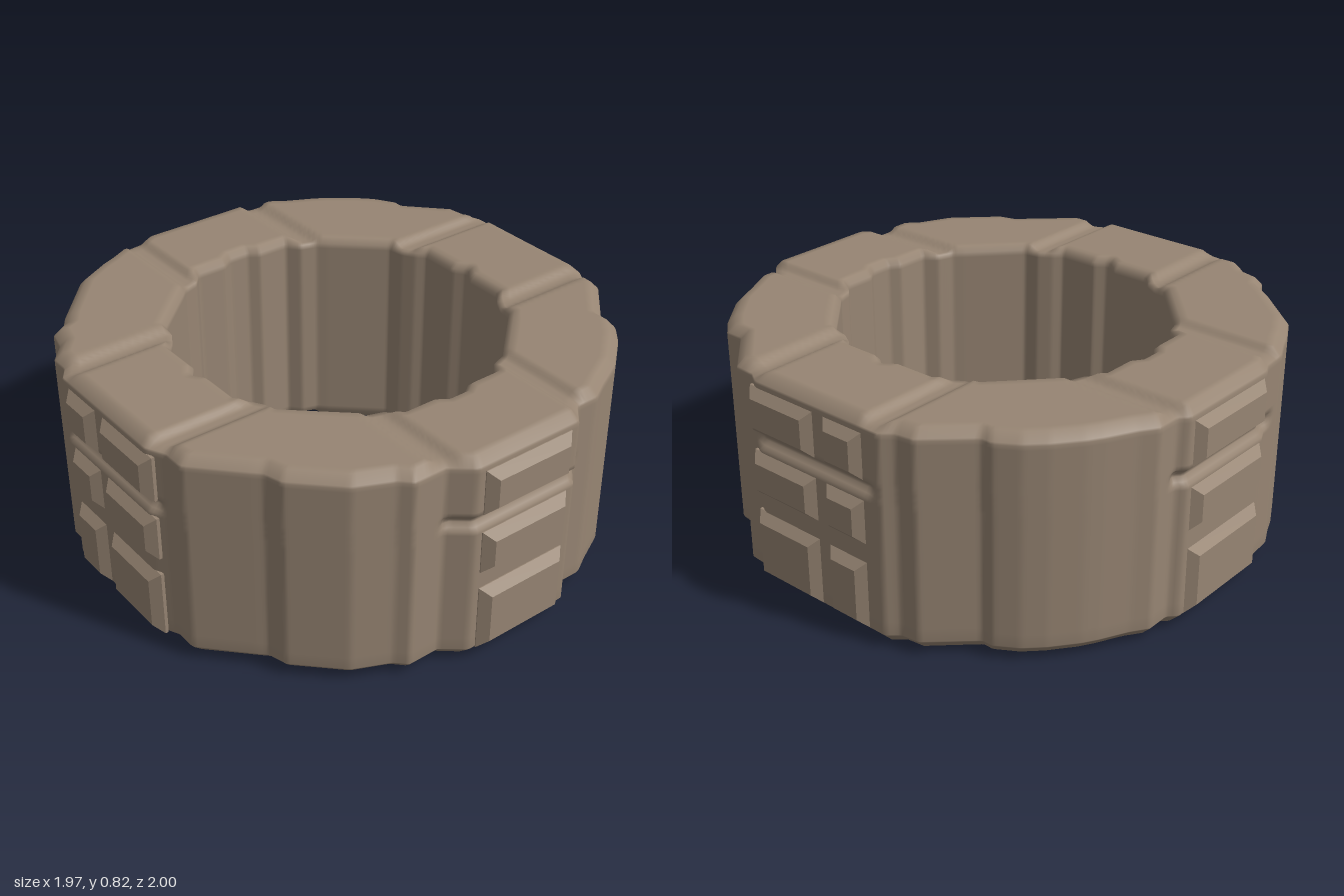
import * as THREE from 'three';

const HEIGHT = 0.82;

// Plan outlines as [x, z], walked around the ring
const OUTER = [
  [-0.2, -0.97], [0.24, -0.97], [0.27, -0.94], [0.36, -0.94], [0.42, -0.9], [0.52, -0.85], [0.57, -0.82],
  [0.66, -0.75], [0.72, -0.69], [0.77, -0.61], [0.77, -0.57], [0.91, -0.42], [0.92, -0.35], [0.955, -0.31],
  [0.955, 0.25], [0.925, 0.3], [0.92, 0.38], [0.76, 0.55], [0.76, 0.62], [0.7, 0.69], [0.57, 0.8],
  [0.45, 0.86], [0.38, 0.9], [0.29, 0.9], [0.23, 0.965], [-0.2, 0.965], [-0.28, 0.9], [-0.4, 0.9],
  [-0.44, 0.86], [-0.57, 0.8], [-0.72, 0.65], [-0.74, 0.58], [-0.77, 0.55], [-0.92, 0.39], [-0.92, 0.31],
  [-0.955, 0.24], [-0.955, -0.28], [-0.92, -0.33], [-0.92, -0.4], [-0.86, -0.47], [-0.84, -0.55],
  [-0.79, -0.57], [-0.75, -0.63], [-0.58, -0.82], [-0.47, -0.88], [-0.42, -0.9], [-0.34, -0.94], [-0.24, -0.95],
];
const INNER_QUARTER = [
  [0.04, 0.625], [0.08, 0.597], [0.2, 0.597], [0.24, 0.55], [0.3, 0.53], [0.33, 0.5], [0.51, 0.335],
  [0.52, 0.28], [0.55, 0.23], [0.58, 0.2], [0.58, 0.05], [0.61, 0.01],
];
const flip = (pts, sx, sz) => pts.map(([x, z]) => [x * sx, z * sz]);
const backwards = [...INNER_QUARTER].reverse();
const INNER = [
  ...INNER_QUARTER, ...flip(backwards, 1, -1),
  ...flip(INNER_QUARTER, -1, -1), ...flip(backwards, -1, 1),
];

// Distance from the centre to an outline along a direction
function radiusAt(outline, dx, dz) {
  let best = 0;
  outline.forEach(([ax, az], i) => {
    const [bx, bz] = outline[(i + 1) % outline.length];
    const ex = bx - ax, ez = bz - az;
    const det = dx * ez - dz * ex;
    if (Math.abs(det) < 1e-9) return;
    const r = (ax * ez - az * ex) / det;
    const t = (ax * dz - az * dx) / det;
    if (r > 0 && t >= -1e-6 && t <= 1 + 1e-6) best = Math.max(best, r);
  });
  return best;
}

// Flat-bottomed groove, 0 outside and 1 in its floor
const groove = (distance, half = 0.05, slope = 0.03) =>
  THREE.MathUtils.clamp((half - Math.abs(distance)) / slope, 0, 1);

// Cross-section rows: f = 0 at the outer wall and 1 at the inner wall
function crossSection() {
  const rows = [];
  const add = (f, inset, y, zone) => rows.push({ f, inset, y, zone });
  [[0.045, 0.005], [0.005, 0.045], [0, 0.052]].forEach(([d, y]) => add(0, d, y, 'wall'));
  [0.1, 0.3, 0.53, 0.545, 0.555, 0.57, 0.58, 0.595, 0.605, 0.62, 0.77, 0.785]
    .forEach((y) => add(0, 0, y, 'wall'));
  add(0, 0.004, 0.792, 'wall');
  for (let k = 0; k <= 12; k++) add(k / 12, 0.032 - 0.052 * (k / 12), HEIGHT, 'top');
  [HEIGHT - 0.02, HEIGHT - 0.04, 0.4, 0.05, 0.03].forEach((y) => add(1, 0, y, 'bore'));
  for (let k = 22; k >= 0; k--) add(k / 22, 0.055 - 0.07 * (k / 22), 0, 'base');
  return rows;
}

function ringGeometry(steps = 480) {
  const rows = crossSection(), n = rows.length;
  const positions = [], index = [];
  for (let i = 0; i < steps; i++) {
    const a = (i / steps) * Math.PI * 2;
    const dx = Math.sin(a), dz = Math.cos(a);
    const outer = radiusAt(OUTER, dx, dz), inner = radiusAt(INNER, dx, dz);
    rows.forEach(({ f, inset, y, zone }, j) => {
      let r = outer + (inner - outer) * f - inset;
      const ax = Math.abs(dx * r), az = Math.abs(dz * r);
      const across = Math.min(ax, az);
      let h = y;
      // Straight seams beside each panel
      if (zone === 'top') h -= 0.02 * groove(across - 0.275);
      // Seams and an eight-sided channel under the base
      if (zone === 'base') {
        const octagon = Math.max(ax, az, (ax + az) * Math.SQRT1_2);
        h += 0.02 * Math.max(groove(across - 0.275), groove(octagon - 0.75));
      }
      // Horizontal slot across each panel
      if (zone === 'wall') r -= 0.025 * groove(y - 0.575, 0.03, 0.02) * groove(across, 0.3, 0.04);
      positions.push(dx * r, h, dz * r);
      const next = ((i + 1) % steps) * n, here = i * n, up = (j + 1) % n;
      index.push(here + j, next + j, next + up, here + j, next + up, here + up);
    });
  }
  const geometry = new THREE.BufferGeometry();
  geometry.setAttribute('position', new THREE.Float32BufferAttribute(positions, 3));
  geometry.setIndex(index);
  geometry.computeVertexNormals();
  return geometry;
}

// Bevelled brick whose flat face spans u0..u1 by y0..y1 at z = 0
function brickGeometry(u0, u1, y0, y1) {
  const shape = new THREE.Shape([
    new THREE.Vector2(u0, y0), new THREE.Vector2(u1, y0),
    new THREE.Vector2(u1, y1), new THREE.Vector2(u0, y1),
  ]);
  const bevel = 0.032;
  const geometry = new THREE.ExtrudeGeometry(shape, {
    depth: 0.01, bevelThickness: bevel, bevelSize: bevel, bevelSegments: 1,
  });
  return geometry.translate(0, 0, -0.01 - bevel);
}

export function createModel() {
  const model = new THREE.Group();
  model.name = 'stoneRing';
  const stone = new THREE.MeshStandardMaterial({ color: 0x978573 });
  stone.name = 'stone';

  const ring = new THREE.Mesh(ringGeometry(), stone);
  ring.name = 'ring';
  model.add(ring);

  // Raised bricks: three courses on each of the four panels
  const courses = [[0.08, 0.27], [0.4, 0.5], [0.635, 0.74]];
  const panels = [
    { name: 'frontBricks', turn: 0, reach: 1, spans: [[-0.14, 0.165]] },
    { name: 'backBricks', turn: Math.PI, reach: 1, spans: [[-0.185, 0.155]] },
    { name: 'leftBricks', turn: Math.PI / 2, reach: 0.985, spans: [[-0.245, -0.01], [0.1, 0.21]] },
    { name: 'rightBricks', turn: -Math.PI / 2, reach: 0.985, spans: [[0.01, 0.245], [-0.21, -0.1]] },
  ];
  for (const { name, turn, reach, spans } of panels) {
    const panel = new THREE.Group();
    panel.name = name;
    panel.rotation.y = turn;
    for (const [u0, u1] of spans) {
      for (const [y0, y1] of courses) {
        const brick = new THREE.Mesh(brickGeometry(u0, u1, y0, y1), stone);
        brick.name = 'brick';
        brick.position.z = reach;
        panel.add(brick);
      }
    }
    model.add(panel);
  }
  return model;
}
